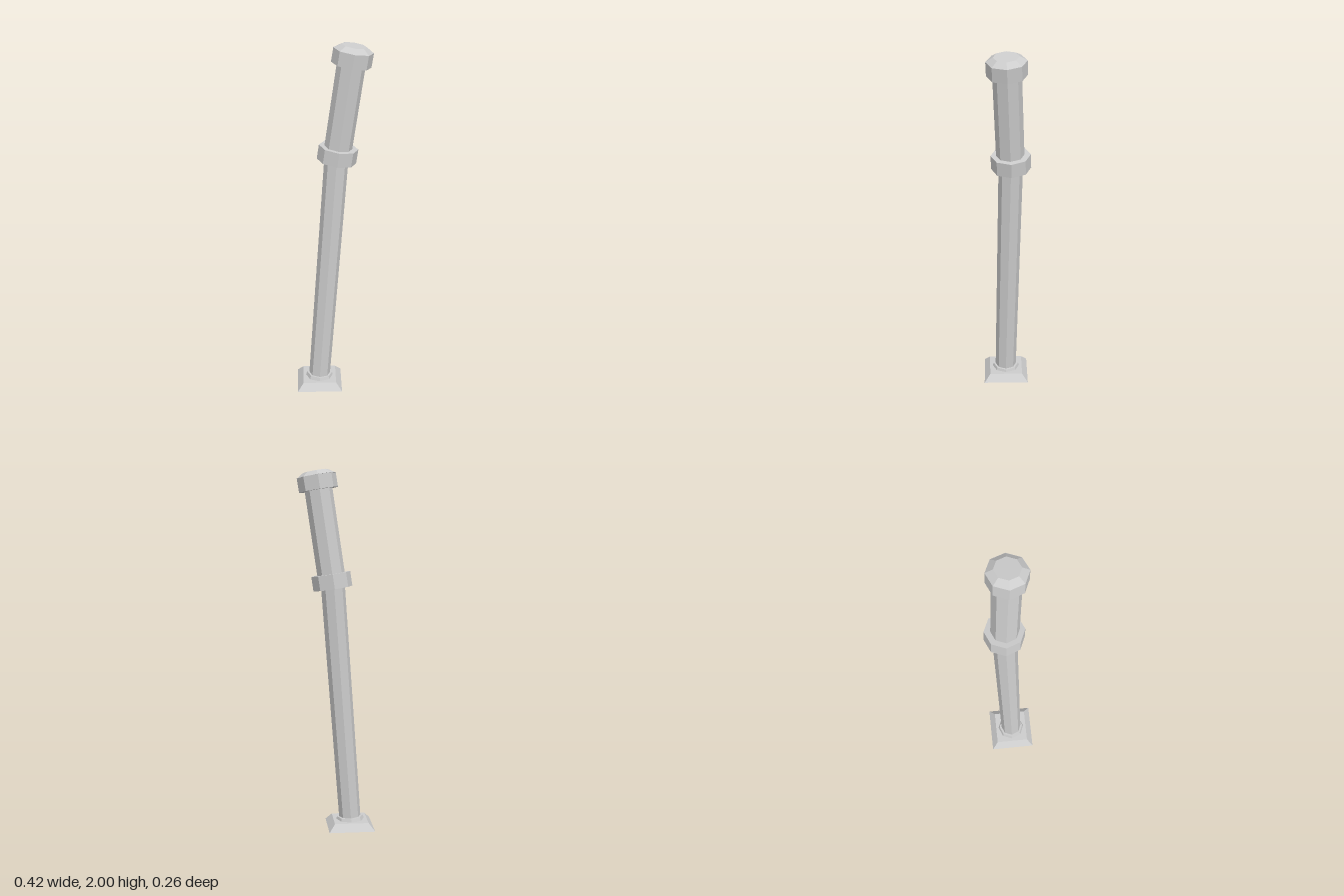
import * as THREE from 'three';

export function createModel() {
  const group = new THREE.Group();
  const stone = new THREE.MeshStandardMaterial({ color: 0xcccccc, flatShading: true });
  stone.name = 'stone grey';

  const up = new THREE.Vector3(0, 1, 0);
  const point = (x, y, z) => new THREE.Vector3(x, y, z);

  // Straight-sided drum running between two points, tilted with its axis
  function drum(name, from, to, rFrom, rTo, sides = 8, turn = 0) {
    const axis = to.clone().sub(from);
    const geometry = new THREE.CylinderGeometry(rTo, rFrom, axis.length(), sides, 1, false, turn);
    const mesh = new THREE.Mesh(geometry, stone);
    mesh.name = name;
    mesh.position.copy(from).lerp(to, 0.5);
    mesh.quaternion.setFromUnitVectors(up, axis.normalize());
    group.add(mesh);
  }

  // Square foot with sloping sides
  drum('basePlate', point(-0.0865, 0, 0.004), point(-0.0865, 0.04, 0.004),
    0.1285 * Math.SQRT2, 0.095 * Math.SQRT2, 4, Math.PI / 4);
  drum('footRing', point(-0.0865, 0.038, 0.004), point(-0.0855, 0.058, 0.004), 0.08, 0.073);

  // Leaning lower shaft, bending slightly at the collar
  drum('lowerShaft', point(-0.0865, 0.045, 0.005), point(0.013, 1.375, -0.021), 0.061, 0.066);
  drum('collar', point(0.013, 1.358, -0.023), point(0.0245, 1.437, -0.02), 0.108, 0.108);
  drum('upperShaft', point(0.014, 1.375, -0.02), point(0.09, 1.9, 0.001), 0.076, 0.076);

  // Cap with a bevelled top
  const capBottom = point(0.0885, 1.89, 0.001);
  const capRim = point(0.1005, 1.966, 0.004);
  drum('cap', capBottom, capRim, 0.107, 0.107);
  drum('capBevel', capRim, point(0.1045, 1.99, 0.005), 0.107, 0.068);

  return group;
}
